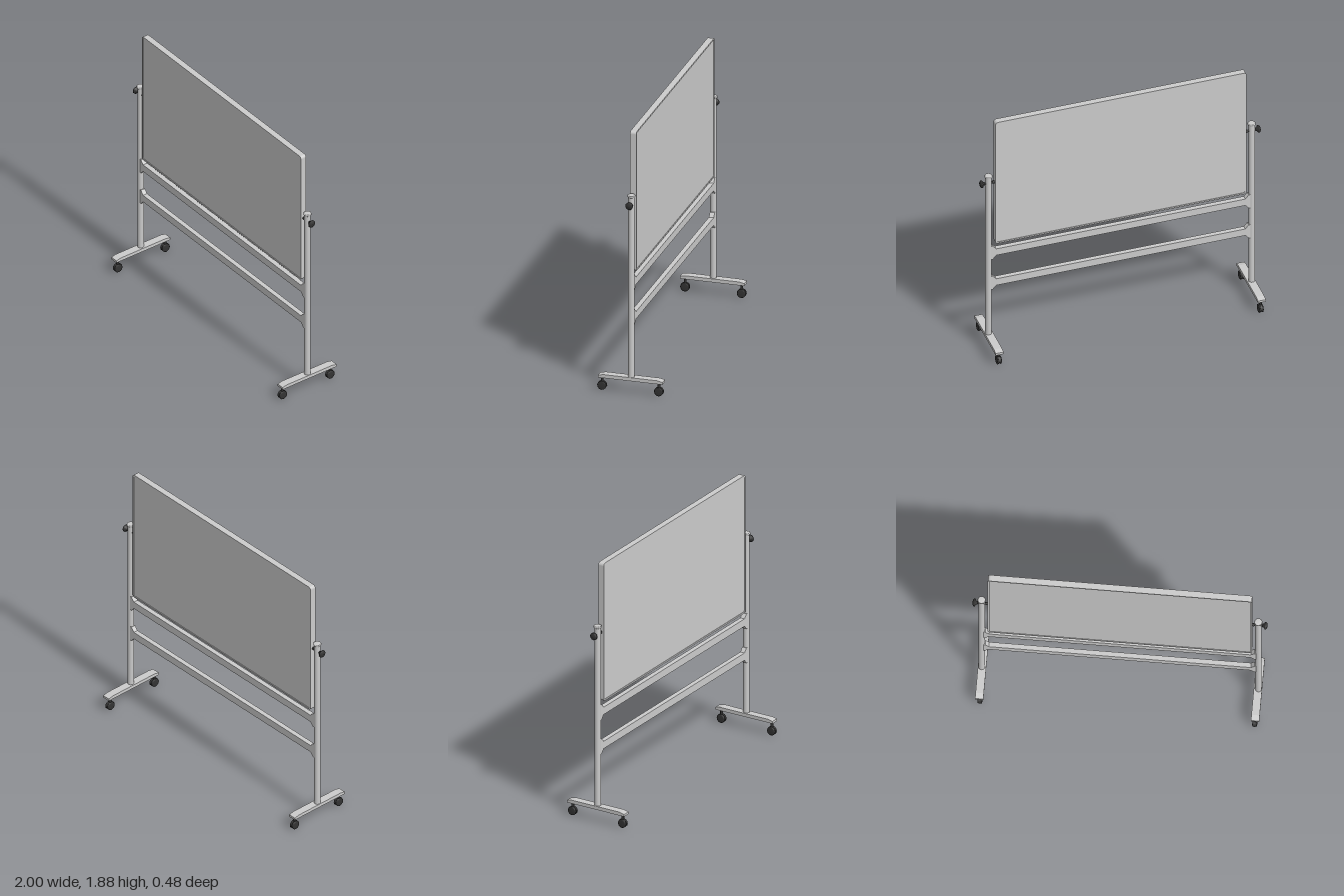
import * as THREE from 'three';

const grey = new THREE.MeshStandardMaterial({ color: 0xcccccc });
const dark = new THREE.MeshStandardMaterial({ color: 0x333333 });
const Z = -0.003; // centre plane of the posts and board

function add(parent, name, geometry, material, x = 0, y = 0, z = 0) {
  const mesh = new THREE.Mesh(geometry, material);
  mesh.name = name;
  mesh.position.set(x, y, z);
  parent.add(mesh);
  return mesh;
}

// Trace a rounded rectangle centred on the origin
function roundedRect(path, w, h, r) {
  const x = w / 2, y = h / 2;
  path.moveTo(-x + r, -y);
  path.lineTo(x - r, -y);
  path.absarc(x - r, -y + r, r, -Math.PI / 2, 0);
  path.lineTo(x, y - r);
  path.absarc(x - r, y - r, r, 0, Math.PI / 2);
  path.lineTo(-x + r, y);
  path.absarc(-x + r, y - r, r, Math.PI / 2, Math.PI);
  path.lineTo(-x, -y + r);
  path.absarc(-x + r, -y + r, r, Math.PI, Math.PI * 1.5);
  return path;
}

function extrude(shape, depth, curveSegments = 6) {
  const g = new THREE.ExtrudeGeometry(shape, { depth, bevelEnabled: false, curveSegments });
  return g.translate(0, 0, -depth / 2);
}

function lathe(points, segments) {
  return new THREE.LatheGeometry(points.map(([r, y]) => new THREE.Vector2(r, y)), segments);
}

// Writing board: rim with a panel set slightly inside it
function makeBoard() {
  const board = new THREE.Group();
  board.name = 'board';
  board.position.set(0, 1.378, Z);
  const rim = roundedRect(new THREE.Shape(), 1.79, 1.014, 0.02);
  rim.holes.push(roundedRect(new THREE.Path(), 1.768, 0.992, 0.012));
  add(board, 'boardRim', extrude(rim, 0.044), grey);
  add(board, 'boardPanel', extrude(roundedRect(new THREE.Shape(), 1.77, 0.994, 0.012), 0.036), grey);
  return board;
}

// Crossbar with flared gussets where it meets the posts
function makeCrossbar(y) {
  const s = new THREE.Shape();
  const half = [[0.925, -0.055], [0.912, -0.055], [0.888, -0.027]];
  const right = [...half.slice().reverse(), ...half.map(([x, v]) => [x, -v])];
  const left = right.map(([x, v]) => [-x, -v]);
  [...right, ...left].forEach(([x, v], i) => (i ? s.lineTo(x, v) : s.moveTo(x, v)));
  s.closePath();
  const bar = new THREE.Mesh(extrude(s, 0.034), grey);
  bar.name = 'crossbar';
  bar.position.set(0, y, Z);
  return bar;
}

// Twin-wheel caster with a stem and a hood
function makeCaster(x, z, turn) {
  const caster = new THREE.Group();
  caster.name = 'caster';
  caster.position.set(x, 0, z);
  caster.rotation.y = turn;
  const wheel = lathe([[0, -0.007], [0.025, -0.007], [0.031, -0.004], [0.031, 0.004], [0.025, 0.007], [0, 0.007]], 12);
  wheel.rotateZ(Math.PI / 2);
  for (const side of [-1, 1]) add(caster, 'casterWheel', wheel, dark, side * 0.0095, 0.031, 0);
  // Hood covers the upper half of the wheels
  const hood = new THREE.CylinderGeometry(0.034, 0.034, 0.012, 10, 1, false, 0, Math.PI);
  hood.rotateZ(Math.PI / 2);
  add(caster, 'casterHood', hood, dark, 0, 0.029, 0).material = hoodMaterial;
  add(caster, 'casterStem', new THREE.CylinderGeometry(0.01, 0.01, 0.052, 10), dark, 0, 0.078, 0);
  return caster;
}
const hoodMaterial = new THREE.MeshStandardMaterial({ color: 0x333333, side: THREE.DoubleSide });

// Foot: shallow bar, sloping down at both ends
function makeFoot(x) {
  const s = new THREE.Shape();
  [[-0.228, 0.095], [0.228, 0.095], [0.228, 0.112], [0.19, 0.12], [-0.19, 0.12], [-0.228, 0.112]]
    .forEach(([a, b], i) => (i ? s.lineTo(a, b) : s.moveTo(a, b)));
  s.closePath();
  const foot = new THREE.Mesh(extrude(s, 0.056).rotateY(Math.PI / 2), grey);
  foot.name = 'foot';
  foot.position.set(x, 0, Z);
  return foot;
}

// One upright with its foot, casters and tilt knob
function makeStand(side) {
  const stand = new THREE.Group();
  stand.name = side > 0 ? 'leftStand' : 'rightStand';
  const x = side * 0.938;
  add(stand, 'post', new THREE.CylinderGeometry(0.022, 0.022, 1.32, 20), grey, x, 0.775, Z);
  add(stand, 'postCap', lathe([[0.022, 0], [0.027, 0.005], [0.027, 0.013], [0.023, 0.017], [0, 0.017]], 20), grey, x, 1.425, Z);
  stand.add(makeFoot(side * 0.935));
  stand.add(makeCaster(side * 0.932, side > 0 ? 0.205 : 0.195, 0));
  stand.add(makeCaster(side * 0.932, side > 0 ? -0.197 : -0.205, 0));

  // Pivot rod and collar joining the board to the post
  const rod = new THREE.CylinderGeometry(0.008, 0.008, 0.09, 12).rotateZ(Math.PI / 2);
  add(stand, 'pivotRod', rod, dark, side * 0.935, 1.378, Z);
  const collar = new THREE.CylinderGeometry(0.011, 0.011, 0.012, 12).rotateZ(Math.PI / 2);
  add(stand, 'pivotCollar', collar, dark, side * 0.903, 1.378, Z);
  const knob = lathe([[0, 0], [0.012, 0], [0.013, 0.01], [0.026, 0.017], [0.027, 0.025], [0.018, 0.033], [0, 0.035]], 12);
  add(stand, 'tiltKnob', knob, dark, side * 0.965, 1.378, Z).rotation.z = -side * Math.PI / 2;
  return stand;
}

export function createModel() {
  const model = new THREE.Group();
  model.name = 'mobileBoard';
  model.add(makeBoard());
  for (const y of [0.798, 0.547]) model.add(makeCrossbar(y));
  for (const side of [-1, 1]) model.add(makeStand(side));
  return model;
}
